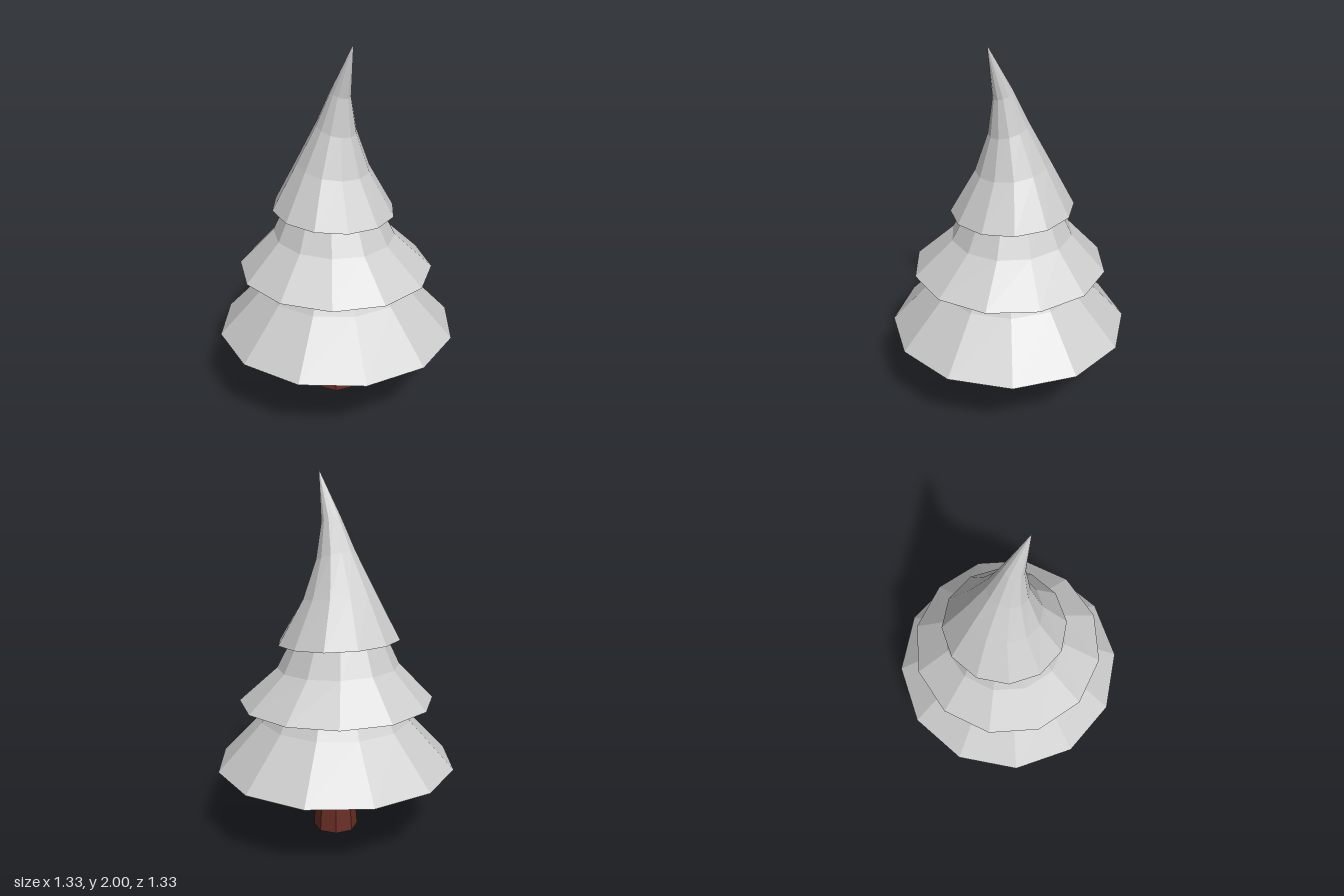
import * as THREE from 'three';

const SIDES = 12;

// One foliage tier: rings of [radius, y, centreX, tilt], from the underside centre up to the top
function tierGeometry(rings, turn) {
  const positions = [];
  const index = [];
  for (const [r, y, cx = 0, tilt = 0] of rings) {
    for (let i = 0; i < SIDES; i++) {
      const a = turn + (i / SIDES) * Math.PI * 2;
      const x = r * Math.cos(a);
      positions.push(cx + x, y + tilt * x, r * Math.sin(a));
    }
  }
  for (let k = 0; k < rings.length - 1; k++) {
    for (let i = 0; i < SIDES; i++) {
      const j = (i + 1) % SIDES;
      const a = k * SIDES + i, b = k * SIDES + j;
      const c = a + SIDES, d = b + SIDES;
      if (rings[k][0] > 0) index.push(a, c, b);
      if (rings[k + 1][0] > 0) index.push(b, c, d);
    }
  }
  const geometry = new THREE.BufferGeometry();
  geometry.setAttribute('position', new THREE.Float32BufferAttribute(positions, 3));
  geometry.setIndex(index);
  const flat = geometry.toNonIndexed();
  flat.computeVertexNormals();
  return flat;
}

export function createModel() {
  const group = new THREE.Group();
  const foliage = new THREE.MeshStandardMaterial({ color: 0xcccccc, flatShading: true });
  foliage.name = 'paleFoliage';
  const bark = new THREE.MeshStandardMaterial({ color: 0x682e24, flatShading: true });
  bark.name = 'brownBark';

  const add = (name, geometry, material) => {
    const mesh = new THREE.Mesh(geometry, material);
    mesh.name = name;
    group.add(mesh);
    return mesh;
  };

  // Tapered trunk reaching into the lowest tier
  add('trunk', new THREE.CylinderGeometry(0.086, 0.125, 0.52, 8), bark).position.y = 0.26;

  // Foliage tiers, each with a shallow hollow underside
  add('lowerTier', tierGeometry([
    [0, 0.5], [0.62, 0.415], [0.665, 0.4], [0.42, 0.66], [0.25, 0.95], [0, 0.96],
  ], 0), foliage);

  add('middleTier', tierGeometry([
    [0, 0.86, -0.006, -0.012], [0.5, 0.775, -0.006, -0.012], [0.535, 0.763, -0.006, -0.012],
    [0.335, 0.957, -0.02, -0.04], [0.215, 1.2, -0.027, -0.06], [0, 1.21, -0.027],
  ], Math.PI / SIDES), foliage);

  // Top tier leans and curls to its tip
  add('topTier', tierGeometry([
    [0, 1.18, -0.024, -0.06], [0.31, 1.112, -0.024, -0.06], [0.336, 1.1, -0.024, -0.06],
    [0.2, 1.345, -0.025, -0.15], [0.108, 1.555, 0, -0.3], [0.054, 1.74, 0.033, -0.38],
    [0, 2, 0.122],
  ], 0), foliage);

  return group;
}
